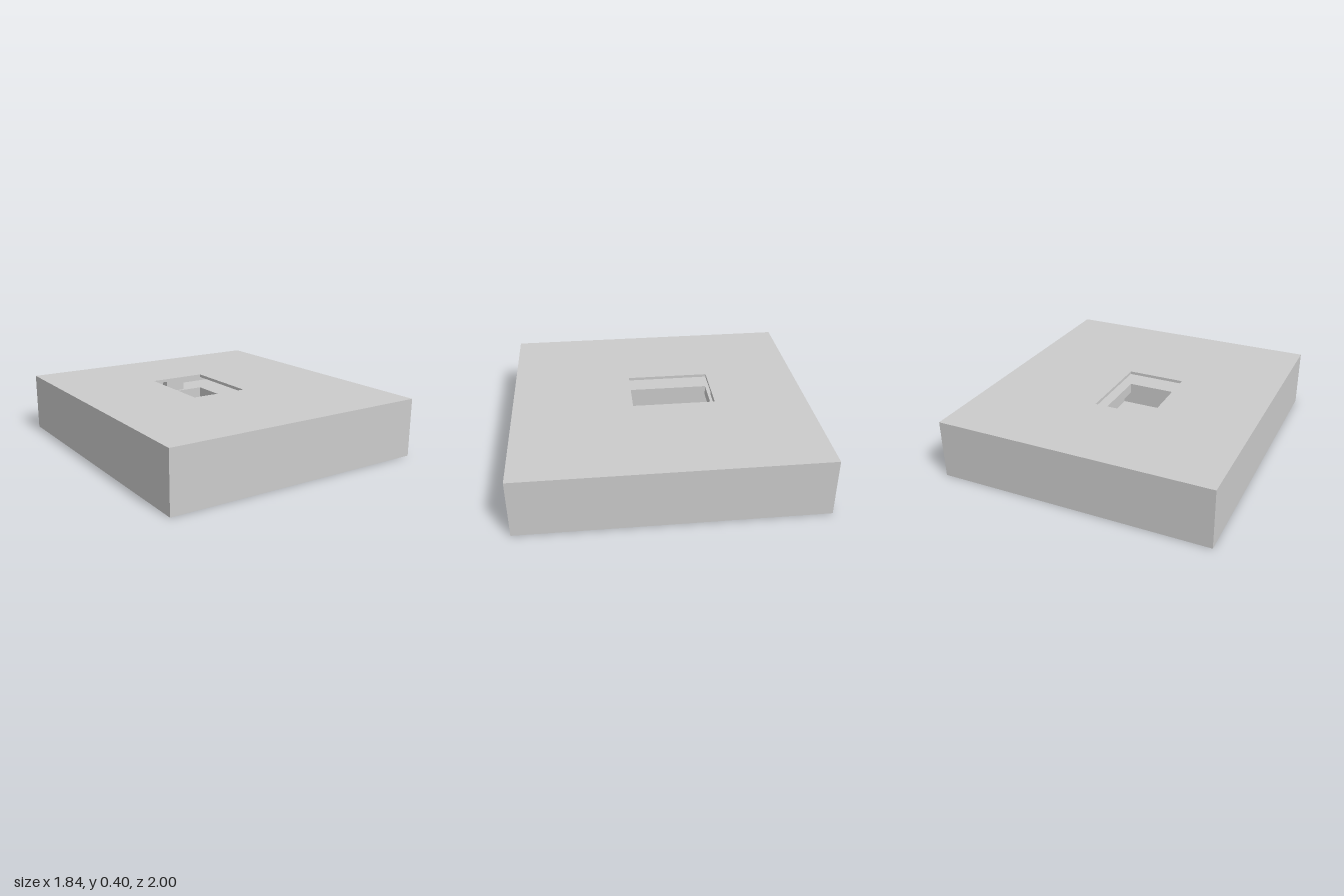
import * as THREE from 'three';

// Rectangular cross-section at height y, counter-clockwise seen from above
const rect = (x0, x1, z0, z1, y) => [[x0, y, z1], [x1, y, z1], [x1, y, z0], [x0, y, z0]];

// Joins successive four-cornered loops with quads and caps both ends
function loft(loops) {
  const pos = [];
  const quad = (a, b, c, d) => pos.push(...a, ...b, ...c, ...a, ...c, ...d);
  for (let l = 0; l < loops.length - 1; l++) {
    const a = loops[l], b = loops[l + 1];
    for (let i = 0; i < 4; i++) {
      const j = (i + 1) % 4;
      quad(a[i], a[j], b[j], b[i]);
    }
  }
  quad(...[...loops[0]].reverse());
  quad(...loops[loops.length - 1]);
  const g = new THREE.BufferGeometry();
  g.setAttribute('position', new THREE.Float32BufferAttribute(pos, 3));
  g.computeVertexNormals();
  return g;
}

export function createModel() {
  const group = new THREE.Group();
  const material = new THREE.MeshStandardMaterial({ color: 0xcccccc, flatShading: true });

  const H = 0.395;
  const outer = (y) => rect(-0.92, 0.92, -1, 1, y);
  // Pocket outline, widened by an undercut
  const pocket = (undercut, depth) =>
    rect(-0.26 - undercut, 0.135 + undercut, -0.37 - undercut, 0.19 + undercut, H - depth);

  // Solid block; its top opens into a pocket with two undercut chambers
  const block = new THREE.Mesh(loft([
    outer(0), outer(H),
    pocket(0, 0), pocket(0, 0.02),        // thin lip
    pocket(0.2, 0.02), pocket(0.2, 0.1),  // upper groove
    pocket(0, 0.1), pocket(0, 0.17),      // middle collar
    pocket(0.1, 0.17), pocket(0.1, 0.31), // lower chamber and floor
  ]), material);
  block.name = 'block';
  group.add(block);

  // Small catch inside the upper groove, behind the lip
  const catchBlock = new THREE.Mesh(new THREE.BoxGeometry(0.14, 0.08, 0.06), material);
  catchBlock.position.set(-0.07, H - 0.06, -0.42);
  catchBlock.name = 'grooveCatch';
  group.add(catchBlock);

  return group;
}
